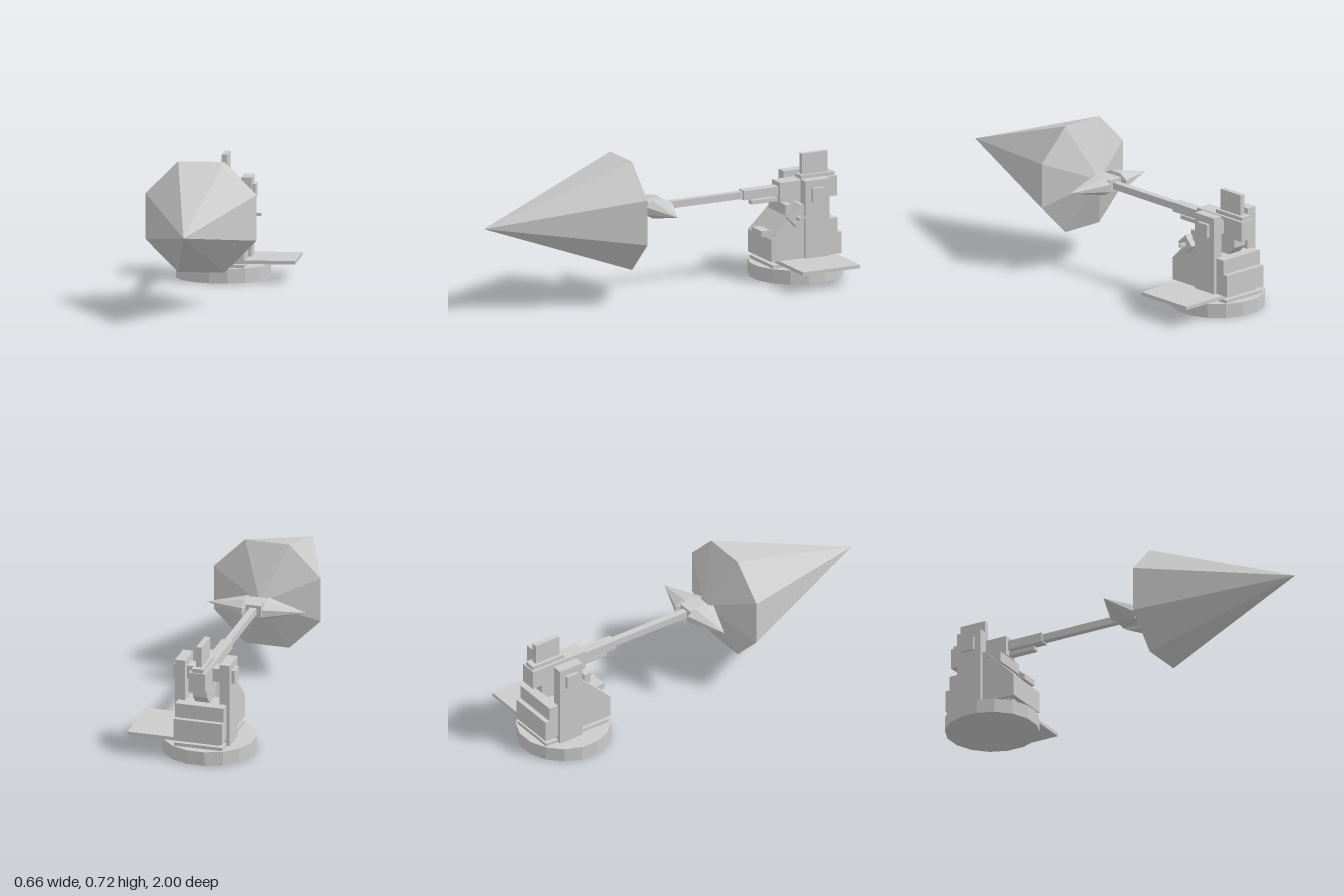
import * as THREE from 'three';
import { mergeGeometries } from 'three/addons/utils/BufferGeometryUtils.js';

const CX = -0.05; // x of the gun axis
const AXIS_Y = 0.442; // height of the barrel axis
const material = new THREE.MeshStandardMaterial({ color: 0xcccccc, flatShading: true });

export function createModel() {
  const model = new THREE.Group();

  const add = (name, geometry) => {
    const mesh = new THREE.Mesh(geometry, material);
    mesh.name = name;
    model.add(mesh);
    return mesh;
  };

  // Box given by its ranges; x is measured from the gun axis
  const box = (name, [x0, x1], [y0, y1], [z0, z1]) => {
    const mesh = add(name, new THREE.BoxGeometry(x1 - x0, y1 - y0, z1 - z0));
    mesh.position.set(CX + (x0 + x1) / 2, (y0 + y1) / 2, (z0 + z1) / 2);
    return mesh;
  };
  const centredBox = (name, width, y, z) => box(name, [-width / 2, width / 2], y, z);

  // Side profile of [z, y] points extruded across x
  const profile = (name, width, points) => {
    const shape = new THREE.Shape(points.map(([z, y]) => new THREE.Vector2(z, y)));
    const geometry = new THREE.ExtrudeGeometry(shape, { depth: width, bevelEnabled: false });
    geometry.translate(0, 0, -width / 2).rotateY(-Math.PI / 2);
    add(name, geometry).position.x = CX;
  };

  // Eight-sided double cone with its ring at the origin, long tip towards +y
  const doubleCone = (apothem, front, back) => {
    const r = apothem / Math.cos(Math.PI / 8);
    const cone = (h) =>
      new THREE.CylinderGeometry(0, r, h, 8, 1, true, Math.PI / 8).translate(0, h / 2, 0);
    return mergeGeometries([cone(front), cone(back).rotateX(Math.PI)]);
  };

  // Round base and turntable
  const base = add('base', new THREE.CylinderGeometry(0.238, 0.238, 0.073, 16, 1, false, Math.PI / 16));
  base.position.set(CX, 0.0365, -0.767);
  centredBox('turntablePlate', 0.252, [0.073, 0.09], [-0.96, -0.575]);
  box('sidePlatform', [-0.107, 0.378], [0.09, 0.108], [-0.935, -0.61]);

  // Mount body with sloped front and stepped rear
  profile('mountBody', 0.252, [
    [-0.567, 0.108], [-0.567, 0.222], [-0.735, 0.385], [-0.757, 0.385],
    [-0.8, 0.295], [-0.94, 0.295], [-0.94, 0.108],
  ]);
  centredBox('rearPanel', 0.252, [0.108, 0.22], [-0.965, -0.94]);
  centredBox('frontBox', 0.1, [0.222, 0.253], [-0.6, -0.55]);

  // Pillars with trunnion caps on both sides
  for (const s of [-1, 1]) {
    const range = (a, b) => (s > 0 ? [a, b] : [-b, -a]);
    box('pillar', range(0.09, 0.143), [0.073, 0.508], [-0.888, -0.75]);
    box('trunnionCap', range(0.143, 0.16), [0.4, 0.47], [-0.855, -0.785]);
  }
  centredBox('trunnionShaft', 0.2, [0.4, 0.47], [-0.855, -0.785]);
  centredBox('crossbar', 0.18, [0.33, 0.385], [-0.7, -0.665]);

  // Elevation gear and handle on the left side
  box('gearBox', [0.12, 0.16], [0.295, 0.365], [-0.73, -0.66]).rotation.x = 0.75;
  box('gearHandle', [0.15, 0.198], [0.322, 0.338], [-0.703, -0.687]);

  // Cradle, tail and sight
  centredBox('cradle', 0.086, [0.385, 0.488], [-0.982, -0.66]);
  profile('cradleTail', 0.075, [
    [-0.77, 0.295], [-0.77, 0.385], [-0.925, 0.385], [-0.925, 0.337], [-0.885, 0.295],
  ]);
  centredBox('sightBase', 0.06, [0.488, 0.508], [-0.975, -0.785]);
  centredBox('sightPlate', 0.028, [0.508, 0.615], [-0.945, -0.8]);

  // Barrel
  centredBox('barrelJacket', 0.054, [0.418, 0.466], [-0.66, -0.463]);
  centredBox('recoilCylinder', 0.035, [0.388, 0.408], [-0.66, -0.512]);
  centredBox('barrel', 0.034, [0.424, 0.46], [-0.463, -0.02]);
  centredBox('muzzleBrake', 0.08, [0.41, 0.474], [-0.02, 0.09]);

  // Muzzle flashes: one forward, one to each side
  add('frontFlash', doubleCone(0.28, 0.78, 0.125).rotateX(Math.PI / 2)).position.set(CX, AXIS_Y, 0.22);
  for (const s of [-1, 1]) {
    const flash = doubleCone(0.08, 0.207, 0.02).rotateZ((-s * Math.PI) / 2).scale(1, 0.58, 1);
    add('sideFlash', flash).position.set(CX + s * 0.053, AXIS_Y, 0.037);
  }

  return model;
}
